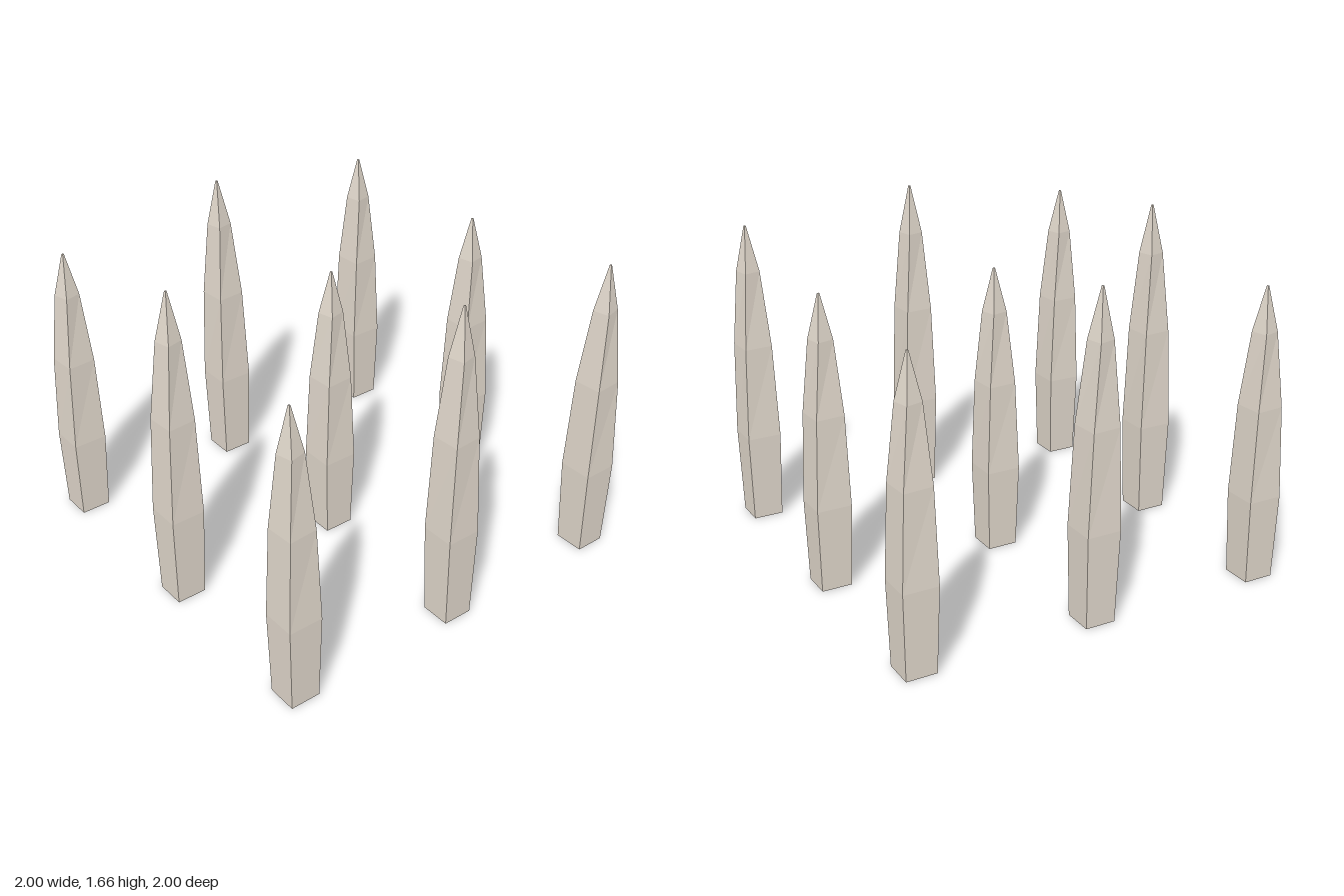
import * as THREE from 'three';

// Cross-sections from base to tip: [fraction of height, half width, twist in degrees]
const RINGS = [
  [0, 0.076, 0],
  [0.29, 0.087, 0],
  [0.6, 0.072, 4],
  [0.85, 0.042, 14],
  [1, 0.004, 20],
];

// Each spike: [column, row, height, sideways lean of the tip]
const SPIKES = [
  [-1, 1, 1.535, -0.008], [0, 1, 1.665, 0.007], [1, 1, 1.565, 0.008],
  [-1, 0, 1.65, 0.01], [0, 0, 1.45, 0.008], [1, 0, 1.46, 0],
  [-1, -1, 1.467, 0], [0, -1, 1.6, -0.014], [1, -1, 1.47, 0],
];

const SPACING = 0.912;

// Four-sided shaft whose rings are scaled, twisted and leaned
function spikeGeometry(height, lean) {
  const steps = RINGS.length - 1;
  const geometry = new THREE.CylinderGeometry(1, 1, 1, 4, steps, false, Math.PI / 4);
  const pos = geometry.attributes.position;
  const v = new THREE.Vector3();
  const up = new THREE.Vector3(0, 1, 0);
  for (let i = 0; i < pos.count; i++) {
    v.fromBufferAttribute(pos, i);
    const [t, half, twist] = RINGS[Math.round((v.y + 0.5) * steps)];
    v.set(v.x * half * Math.SQRT2, t * height, v.z * half * Math.SQRT2);
    v.applyAxisAngle(up, THREE.MathUtils.degToRad(twist));
    v.x += lean * t * t;
    pos.setXYZ(i, v.x, v.y, v.z);
  }
  const flat = geometry.toNonIndexed();
  flat.computeVertexNormals();
  return flat;
}

export function createModel() {
  const model = new THREE.Group();
  model.name = 'spikeField';

  const stone = new THREE.MeshStandardMaterial({ color: 0xe0d7cb, flatShading: true });
  stone.name = 'paleStone';

  // Three by three grid of spikes
  for (const [column, row, height, lean] of SPIKES) {
    const spike = new THREE.Mesh(spikeGeometry(height, lean), stone);
    spike.name = 'spike';
    spike.position.set(column * SPACING, 0, row * SPACING);
    model.add(spike);
  }
  return model;
}
